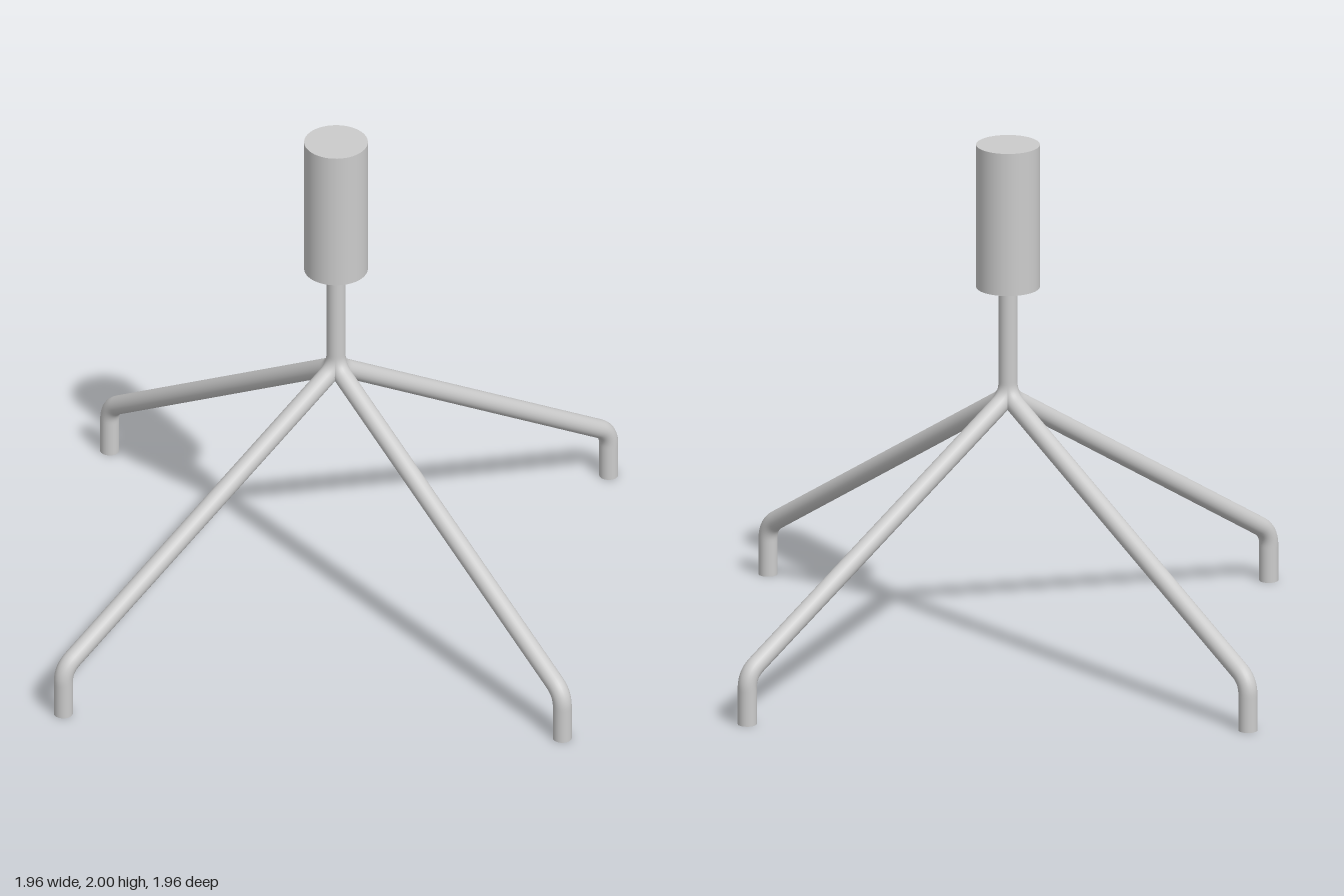
import * as THREE from 'three';

export function createModel() {
  const model = new THREE.Group();
  const material = new THREE.MeshStandardMaterial({ color: 0xcccccc });
  const tubeRadius = 0.036;
  const reach = 0.942 * Math.SQRT2;

  // Centre line of one leg: stem, shoulder bend, sloping run, ankle bend, foot
  const top = new THREE.Vector3(0, 1.46, 0);
  const shoulder = new THREE.Vector3(0, 1.01, 0);
  const ankle = new THREE.Vector3(reach, 0.195, 0);
  const foot = new THREE.Vector3(reach, 0, 0);
  const toward = (a, b, d) => a.clone().add(b.clone().sub(a).setLength(d));
  const bend = 0.055;
  const s1 = toward(shoulder, top, bend), s2 = toward(shoulder, ankle, bend);
  const a1 = toward(ankle, shoulder, bend), a2 = toward(ankle, foot, bend);

  const path = new THREE.CurvePath();
  path.add(new THREE.LineCurve3(top, s1));
  path.add(new THREE.QuadraticBezierCurve3(s1, shoulder, s2));
  path.add(new THREE.LineCurve3(s2, a1));
  path.add(new THREE.QuadraticBezierCurve3(a1, ankle, a2));
  path.add(new THREE.LineCurve3(a2, foot));

  const legGeometry = new THREE.TubeGeometry(path, 180, tubeRadius, 24, false);
  const capGeometry = new THREE.CircleGeometry(tubeRadius, 24).rotateX(Math.PI / 2);

  // Four bent tube legs on the diagonals, sharing one stem
  const names = ['backLeft', 'backRight', 'frontRight', 'frontLeft'];
  names.forEach((name, i) => {
    const leg = new THREE.Group();
    leg.name = name + 'Leg';
    const tube = new THREE.Mesh(legGeometry, material);
    tube.name = name + 'Tube';
    const cap = new THREE.Mesh(capGeometry, material);
    cap.name = name + 'FootEnd';
    cap.position.copy(foot);
    leg.add(tube, cap);
    leg.rotation.y = Math.PI / 4 + i * Math.PI / 2;
    model.add(leg);
  });

  // Wide cylindrical sleeve on top of the stem
  const sleeve = new THREE.Mesh(new THREE.CylinderGeometry(0.12, 0.12, 0.56, 48), material);
  sleeve.name = 'topSleeve';
  sleeve.position.y = 1.72;
  model.add(sleeve);

  return model;
}
